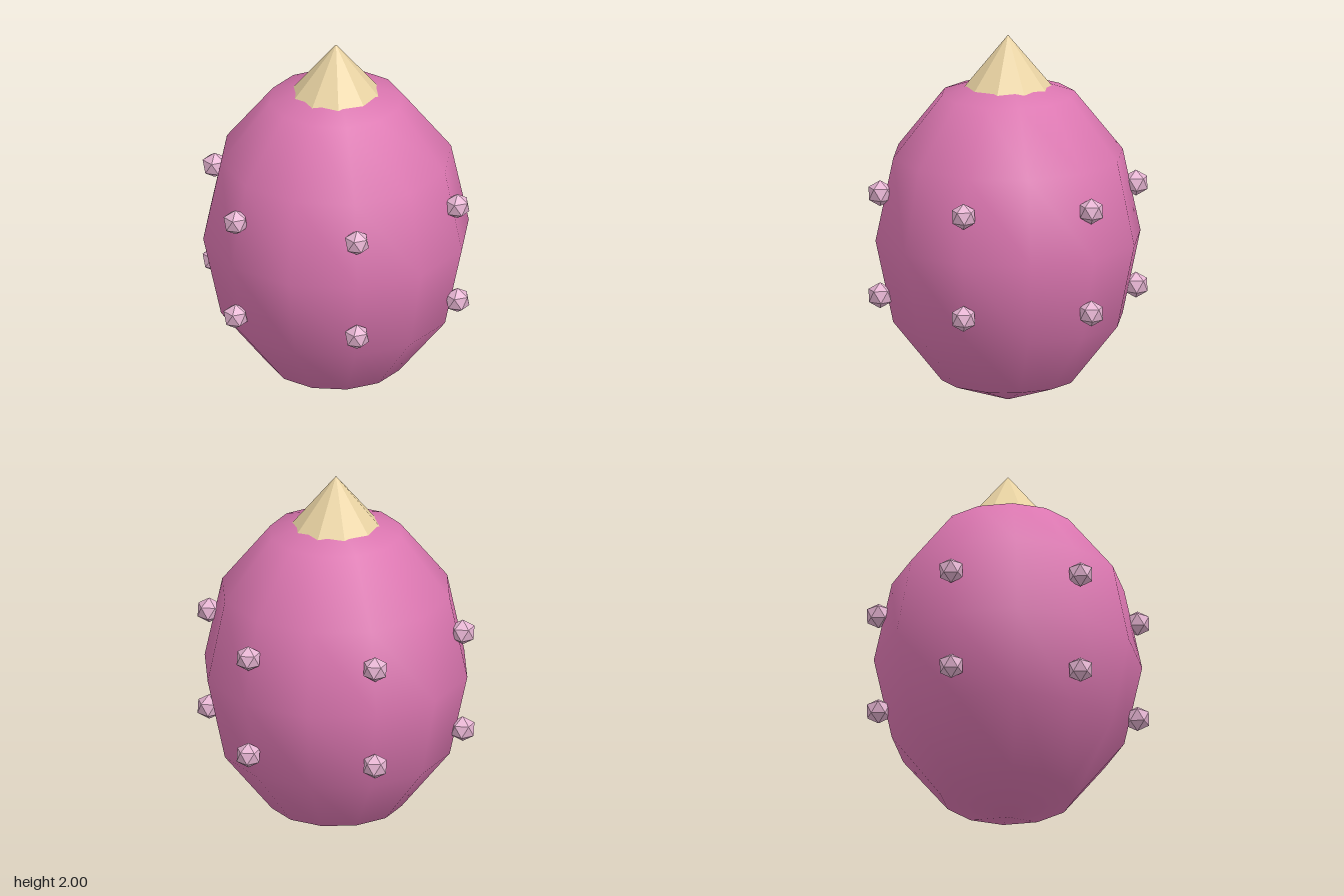
import * as THREE from 'three';

const material = (color, flatShading) => new THREE.MeshStandardMaterial({ color, flatShading });

export function createModel() {
  const model = new THREE.Group();
  model.name = 'studdedEgg';

  // Smooth-shaded, low-poly egg body
  const bodyGeometry = new THREE.SphereGeometry(1, 12, 6);
  bodyGeometry.scale(0.717, 0.9, 0.717);
  const body = new THREE.Mesh(bodyGeometry, material(0xdb76b0, false));
  body.name = 'body';
  body.position.y = 0.9;
  model.add(body);

  // Faceted cone on top, its base sunk into the body
  const tip = new THREE.Mesh(new THREE.ConeGeometry(0.3, 0.36, 10), material(0xe8d2a2, true));
  tip.name = 'tip';
  tip.position.y = 1.82;
  model.add(tip);

  // Studs: icosahedra with a corner pointing up, in two rings of six
  const studGeometry = new THREE.IcosahedronGeometry(0.071, 0);
  studGeometry.rotateX(-Math.atan((1 + Math.sqrt(5)) / 2));
  studGeometry.rotateY(Math.PI / 2);
  const studMaterial = material(0xe6b4d2, true);
  for (const [ring, y] of [['lower', 0.6], ['upper', 1.16]]) {
    for (let i = 0; i < 6; i++) {
      const angle = (i * Math.PI) / 3;
      const stud = new THREE.Mesh(studGeometry, studMaterial);
      stud.name = `${ring}Stud${i + 1}`;
      stud.position.set(0.692 * Math.cos(angle), y, 0.692 * Math.sin(angle));
      model.add(stud);
    }
  }

  return model;
}
